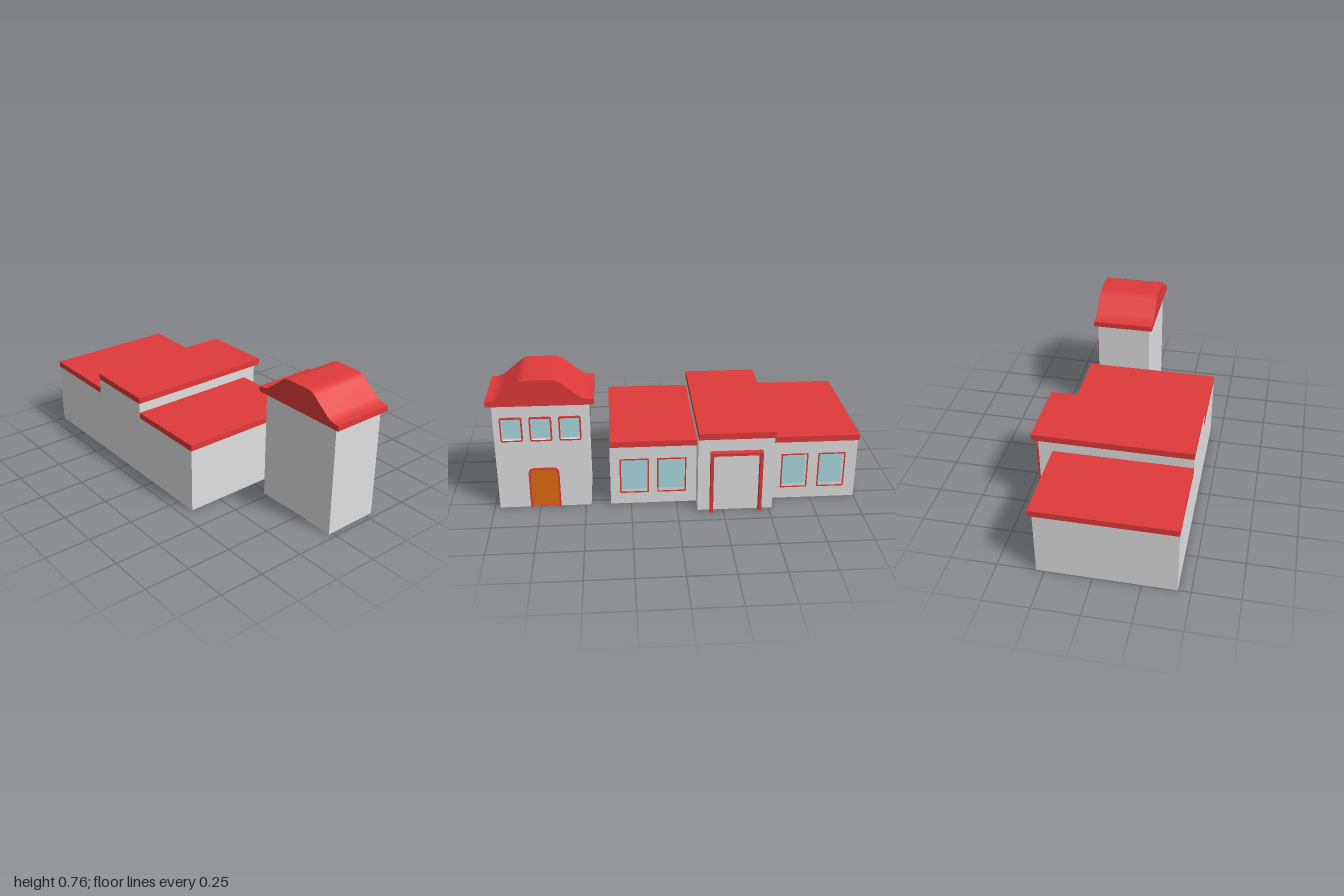
import * as THREE from 'three';
import { toCreasedNormals } from 'three/addons/utils/BufferGeometryUtils.js';

const paint = (name, color) => Object.assign(new THREE.MeshStandardMaterial({ color }), { name });

export function createModel() {
  const wall = paint('wall grey', 0xe0e0e0);
  const red = paint('roof red', 0xe03a3a);
  const glass = paint('window glass', 0xabdbe2);
  const wood = paint('door orange', 0xe06c10);
  const model = new THREE.Group();
  model.name = 'building';

  const add = (name, geometry, material) => {
    const mesh = new THREE.Mesh(geometry, material);
    mesh.name = name;
    model.add(mesh);
  };
  const box = (name, material, x0, x1, y0, y1, z0, z1) => {
    const g = new THREE.BoxGeometry(x1 - x0, y1 - y0, z1 - z0);
    g.translate((x0 + x1) / 2, (y0 + y1) / 2, (z0 + z1) / 2);
    add(name, g, material);
  };
  // Outlines use u = -z across and y up; they are pushed out along x.
  const slab = (shape, x0, x1) => {
    const g = new THREE.ExtrudeGeometry(shape, { depth: x1 - x0, bevelEnabled: false });
    return g.rotateY(Math.PI / 2).translate(x0, 0, 0);
  };
  const v = (u, y) => new THREE.Vector2(u, y);
  const corner = (cx, cy, r, start) => [0, 1, 2, 3, 4].map((i) => {
    const a = start - (i * Math.PI) / 8;
    return v(cx + r * Math.cos(a), cy + r * Math.sin(a));
  });
  // Clockwise from bottom left, with rounded top corners
  const arch = (u0, u1, y0, y1, r) => [
    v(u0, y0),
    ...(r ? corner(u0 + r, y1 - r, r, Math.PI) : [v(u0, y1)]),
    ...(r ? corner(u1 - r, y1 - r, r, Math.PI / 2) : [v(u1, y1)]),
    v(u1, y0),
  ];
  // Clockwise, all corners rounded
  const opening = (u0, u1, y0, y1, r) => (r ? [
    ...corner(u0 + r, y0 + r, r, -Math.PI / 2),
    ...corner(u0 + r, y1 - r, r, Math.PI),
    ...corner(u1 - r, y1 - r, r, Math.PI / 2),
    ...corner(u1 - r, y0 + r, r, 0),
  ] : arch(u0, u1, y0, y1, 0));

  // Recessed window: red lining and glass set back
  const addWindow = (w, face, back, t, r) => {
    const [u0, u1, y0, y1] = w;
    const inner = opening(u0 + t, u1 - t, y0 + t, y1 - t, r * 0.6);
    const ring = new THREE.Shape(opening(u0, u1, y0, y1, r));
    ring.holes.push(new THREE.Path(inner));
    add('windowFrame', slab(ring, back, face), red);
    add('windowPane', slab(new THREE.Shape(inner), back, back + 0.004), glass);
  };
  const pierced = (outline, windows, r) => {
    const shape = new THREE.Shape(outline);
    windows.forEach((w) => shape.holes.push(new THREE.Path(opening(...w, r))));
    return shape;
  };

  // Side wings with two windows each
  const xBack = -0.433;
  const wings = [
    { z0: -0.11, z1: 0.362, win: [[-0.31, -0.15], [-0.105, 0.055]] },
    { z0: -1, z1: -0.52, win: [[0.58, 0.73], [0.785, 0.937]] },
  ];
  for (const { z0, z1, win } of wings) {
    const windows = win.map(([a, b]) => [a, b, 0.066, 0.276]);
    box('wingBody', wall, xBack, 0.26, 0, 0.36, z0, z1);
    add('wingFrontWall', slab(pierced(arch(-z1, -z0, 0, 0.36, 0), windows, 0), 0.26, 0.293), wall);
    windows.forEach((w) => addWindow(w, 0.294, 0.26, 0.008, 0));
    box('wingRoof', red, xBack, 0.318, 0.36, 0.393, z0, z1);
  }

  // Taller middle hall with its portal
  box('hallBody', wall, xBack, 0.393, 0, 0.447, -0.52, -0.11);
  box('hallRoof', red, xBack, 0.432, 0.447, 0.482, -0.52, -0.11);
  const portal = [...arch(0.175, 0.457, 0, 0.36, 0), ...arch(0.192, 0.44, 0, 0.343, 0).reverse()];
  add('portalFrame', slab(new THREE.Shape(portal), 0.393, 0.425), red);

  // Tower: core, front wall with door notch and three windows
  const doorOuter = arch(-0.802, -0.636, 0, 0.24, 0.03);
  const doorInner = arch(-0.794, -0.644, 0, 0.232, 0.024);
  const towerWindows = [[-0.935, -0.817], [-0.78, -0.662], [-0.625, -0.507]].map(([a, b]) => [a, b, 0.406, 0.545]);
  box('towerBody', wall, -0.02, 0.272, 0.002, 0.615, 0.47, 0.97);
  box('towerBase', wall, -0.02, 0.272, 0, 0.002, 0.47, 0.636);
  box('towerBase', wall, -0.02, 0.272, 0, 0.002, 0.802, 0.97);
  box('doorThreshold', red, -0.02, 0.293, 0, 0.002, 0.636, 0.802);
  const front = [v(-0.97, 0), ...doorOuter, v(-0.47, 0), v(-0.47, 0.615), v(-0.97, 0.615)];
  add('towerFrontWall', slab(pierced(front, towerWindows, 0.01), 0.272, 0.293), wall);
  towerWindows.forEach((w) => addWindow(w, 0.303, 0.272, 0.008, 0.01));
  add('doorFrame', slab(new THREE.Shape([...doorOuter, ...doorInner.slice().reverse()]), 0.272, 0.303), red);
  add('door', slab(new THREE.Shape(doorInner), 0.272, 0.28), wood);

  // Tower roof: flared eaves sweeping up to a flat top
  const half = [[0.283, 0.615], [0.283, 0.645], [0.25, 0.646], [0.228, 0.653], [0.205, 0.667],
    [0.115, 0.741], [0.1, 0.751], [0.085, 0.756], [0.065, 0.759]];
  const roof = [
    ...half.map(([u, y]) => v(-0.717 - u, y)),
    ...half.slice().reverse().map(([u, y]) => v(-0.717 + u, y)),
  ];
  add('towerRoof', toCreasedNormals(slab(new THREE.Shape(roof), -0.04, 0.31), 0.6), red);

  return model;
}
